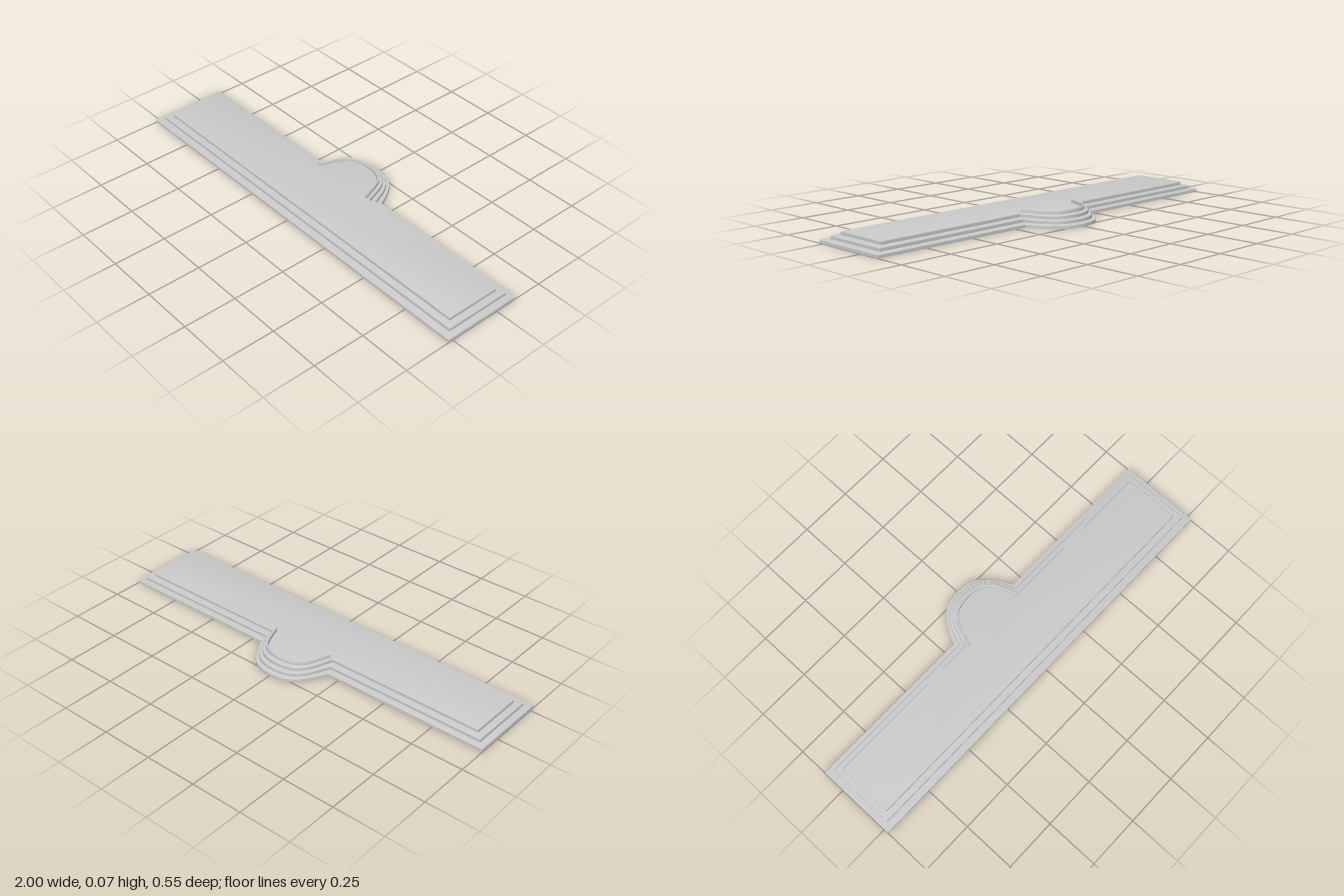
import * as THREE from 'three';
import { toCreasedNormals } from 'three/addons/utils/BufferGeometryUtils.js';

const material = new THREE.MeshStandardMaterial({ color: 0xcccccc, side: THREE.DoubleSide });
const STEP = 0.018;

// Half outlines of the rear bay, lowest and highest step (x, distance to the rear)
const BAY_OUTER = [[0.197, 0.11], [0.16, 0.18], [0.11, 0.24], [0.06, 0.265], [0, 0.273]];
const BAY_INNER = [[0.165, 0.048], [0.125, 0.15], [0.09, 0.19], [0.05, 0.207], [0, 0.213]];

// Smooth bay curve from right (+x) to left, t = 0 outermost, t = 1 innermost
function bayCurve(t, start, inset = 0) {
  const half = BAY_OUTER.map(([x, d], i) => new THREE.Vector2(
    THREE.MathUtils.lerp(x, BAY_INNER[i][0], t),
    THREE.MathUtils.lerp(d, BAY_INNER[i][1], t)));
  half[0].y = start;
  const mirrored = half.slice(0, -1).reverse().map((p) => new THREE.Vector2(-p.x, p.y));
  const points = new THREE.SplineCurve([...half, ...mirrored]).getPoints(24);
  // Move inwards while keeping the open ends level
  return points.map((p) => new THREE.Vector2(
    p.x * (1 - inset / 0.165), start + (p.y - start) * (1 - inset / (0.213 - 0.048))));
}

// Flat slab with a rounded upper edge and a flat underside
function slab(name, outline, base, height, bevel) {
  const thickness = 0.005;
  const geometry = new THREE.ExtrudeGeometry(new THREE.Shape(outline), {
    depth: height - thickness, bevelEnabled: true, bevelThickness: thickness,
    bevelSize: bevel, bevelOffset: -bevel, bevelSegments: 2,
  });
  geometry.rotateX(-Math.PI / 2);
  const position = geometry.attributes.position;
  for (let i = 0; i < position.count; i++) {
    position.setY(i, base + Math.max(0, position.getY(i)));
  }
  const mesh = new THREE.Mesh(toCreasedNormals(geometry, 0.5), material);
  mesh.name = name;
  return mesh;
}

export function createModel() {
  const group = new THREE.Group();
  group.name = 'steppedPlatform';

  // Three stacked steps: half width, front edge, rear edge
  const steps = [
    ['lowerStep', 1, 0.273, 0.11],
    ['middleStep', 0.97, 0.24, 0.083],
    ['upperStep', 0.94, 0.21, 0.055],
  ];
  steps.forEach(([name, w, front, rear], i) => {
    const outline = [
      new THREE.Vector2(-w, -front), new THREE.Vector2(w, -front),
      new THREE.Vector2(w, rear), ...bayCurve(i / 3, rear), new THREE.Vector2(-w, rear),
    ];
    group.add(slab(name, outline, i * STEP, STEP, 0.008));
  });

  // Thin raised curb around the bay, open to the front
  const curb = [...bayCurve(1, 0.048), ...bayCurve(1, 0.048, 0.01).reverse()];
  group.add(slab('bayCurb', curb, 3 * STEP, 0.017, 0.003));

  return group;
}
